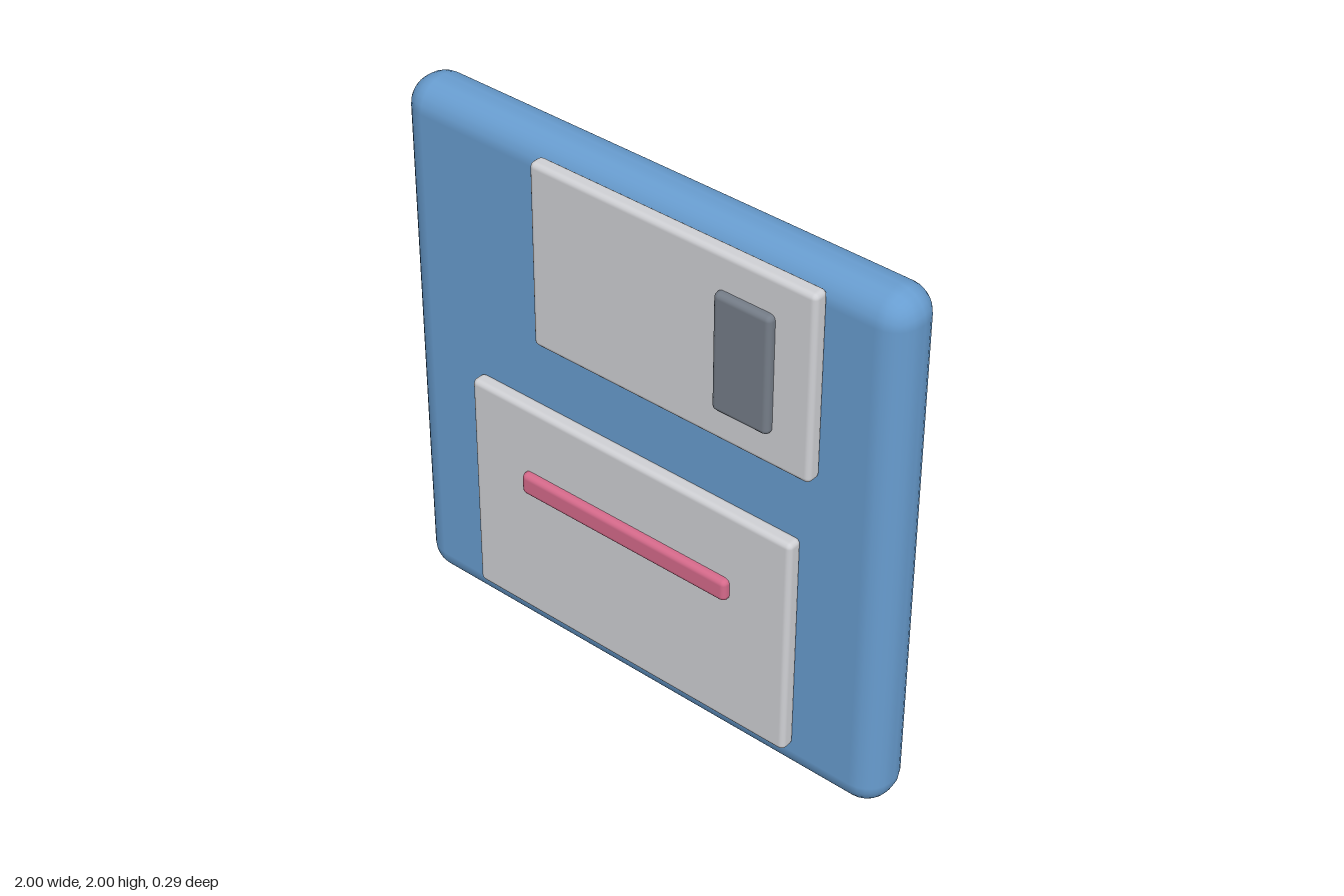
import * as THREE from 'three';
import { RoundedBoxGeometry } from 'three/addons/geometries/RoundedBoxGeometry.js';

function material(name, color) {
  const m = new THREE.MeshStandardMaterial({ color });
  m.name = name;
  return m;
}

export function createModel() {
  const group = new THREE.Group();
  group.name = 'floppyDisk';

  const blue = material('blue plastic', 0x689dd0);
  const silver = material('light grey', 0xd0d1d5);
  const slate = material('slate grey', 0x757d88);
  const pink = material('pink', 0xd66a8b);

  // Rounded slab given by its extents along each axis
  function slab(name, mat, [x0, x1], [y0, y1], [z0, z1], radius, segments) {
    const geometry = new RoundedBoxGeometry(x1 - x0, y1 - y0, z1 - z0, segments, radius);
    const mesh = new THREE.Mesh(geometry, mat);
    mesh.position.set((x0 + x1) / 2, (y0 + y1) / 2, (z0 + z1) / 2);
    mesh.name = name;
    group.add(mesh);
  }

  // Disk casing
  slab('casing', blue, [-1, 1], [0, 2], [-0.147, 0.067], 0.1, 3);
  // Sliding shutter and its window
  slab('shutter', silver, [-0.39, 0.73], [1.27, 1.96], [0.06, 0.12], 0.02, 2);
  slab('shutterWindow', slate, [0.365, 0.585], [1.395, 1.83], [0.09, 0.147], 0.02, 2);
  // Paper label and its stripe
  slab('label', silver, [-0.675, 0.67], [0.135, 1.0], [0.06, 0.12], 0.02, 2);
  slab('labelStripe', pink, [-0.44, 0.435], [0.655, 0.74], [0.09, 0.147], 0.02, 2);

  return group;
}
